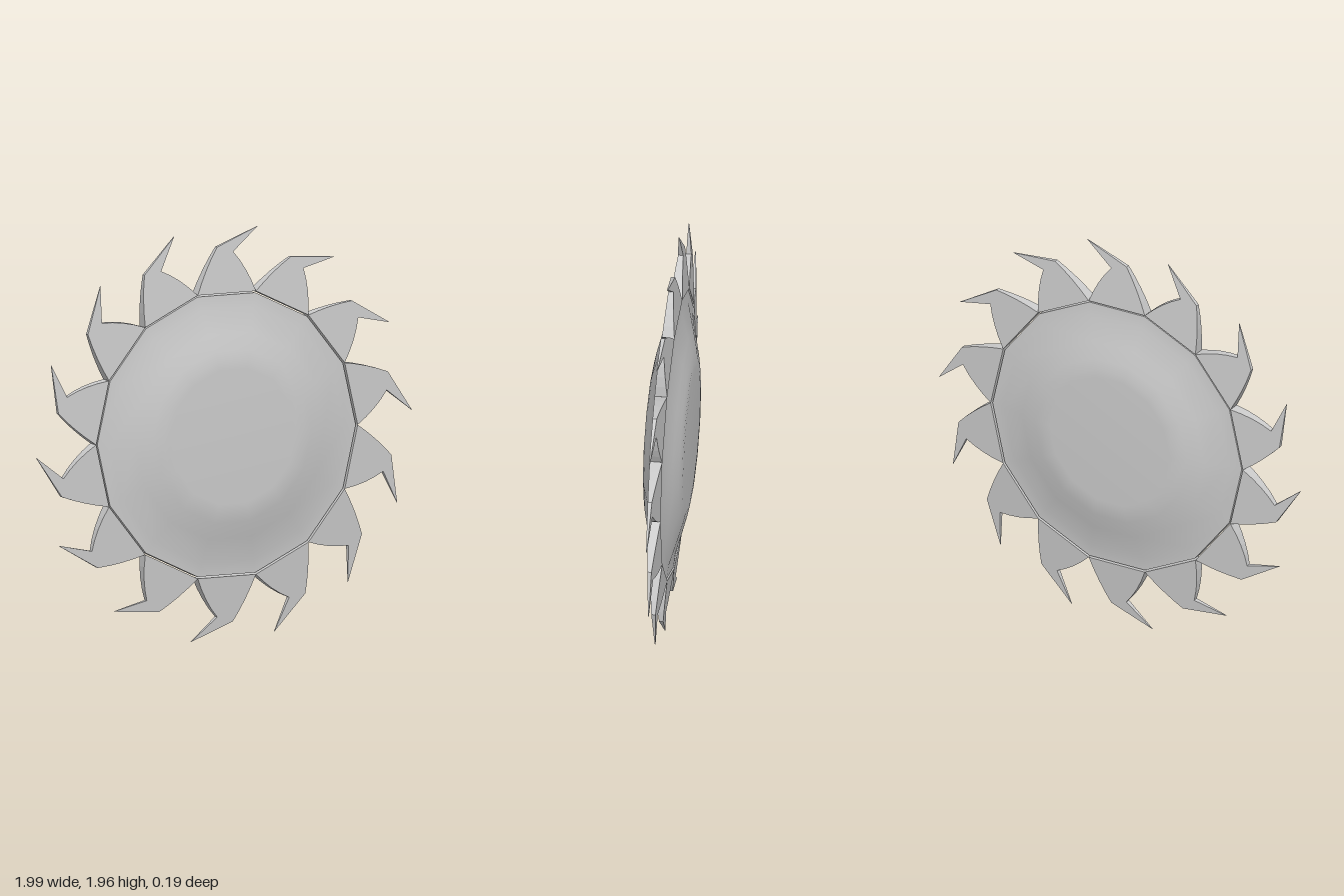
import * as THREE from 'three';
import { toCreasedNormals } from 'three/addons/utils/BufferGeometryUtils.js';

const COUNT = 14;          // sides of the disc and number of teeth
const BASE = 0.675;        // distance from centre to the foot of a tooth
const TIP = 0.98;          // height of a tooth tip
const CENTRE_Y = 0.985;

// Domed, 14-sided disc with a thin rim
function discGeometry() {
  const half = [
    [0, 0.095], [0.33, 0.095], [0.37, 0.093], [0.42, 0.083],
    [0.5, 0.063], [0.62, 0.031], [0.684, 0.026],
  ];
  const upper = half.map(([r, h]) => new THREE.Vector2(r, h)).reverse();
  const lower = half.map(([r, h]) => new THREE.Vector2(r, -h));
  const geometry = new THREE.LatheGeometry([...lower, ...upper], COUNT, Math.PI / 2);
  geometry.rotateX(Math.PI / 2);
  return toCreasedNormals(geometry, 0.6);
}

// Hooked tooth, wedge-shaped: thick at the foot, thin at the tip
function toothGeometry() {
  const shape = new THREE.Shape();
  shape.moveTo(-0.154, BASE);
  shape.lineTo(0.154, BASE);
  shape.quadraticCurveTo(0.112, 0.79, 0.042, 0.868);
  shape.lineTo(0.178, TIP);
  shape.lineTo(-0.042, 0.894);
  shape.quadraticCurveTo(-0.108, 0.795, -0.154, BASE);
  const geometry = new THREE.ExtrudeGeometry(shape, {
    depth: 2, bevelEnabled: false, curveSegments: 4,
  });
  const p = geometry.attributes.position;
  for (let i = 0; i < p.count; i++) {
    const t = (p.getY(i) - BASE) / (TIP - BASE);
    p.setZ(i, (p.getZ(i) - 1) * THREE.MathUtils.lerp(0.03, 0.002, t));
  }
  geometry.computeVertexNormals();
  return geometry;
}

export function createModel() {
  const model = new THREE.Group();
  model.name = 'toothedDisc';
  const material = new THREE.MeshStandardMaterial({ color: 0xcccccc });

  const disc = new THREE.Mesh(discGeometry(), material);
  disc.name = 'disc';
  model.add(disc);

  // Ring of teeth, one on each side of the disc
  const teeth = new THREE.Group();
  teeth.name = 'teeth';
  const tooth = toothGeometry();
  for (let i = 0; i < COUNT; i++) {
    const mesh = new THREE.Mesh(tooth, material);
    mesh.name = 'tooth' + (i + 1);
    mesh.rotation.z = -(i / COUNT) * Math.PI * 2;
    teeth.add(mesh);
  }
  model.add(teeth);

  model.position.y = CENTRE_Y;
  const root = new THREE.Group();
  root.name = 'model';
  root.add(model);
  return root;
}
